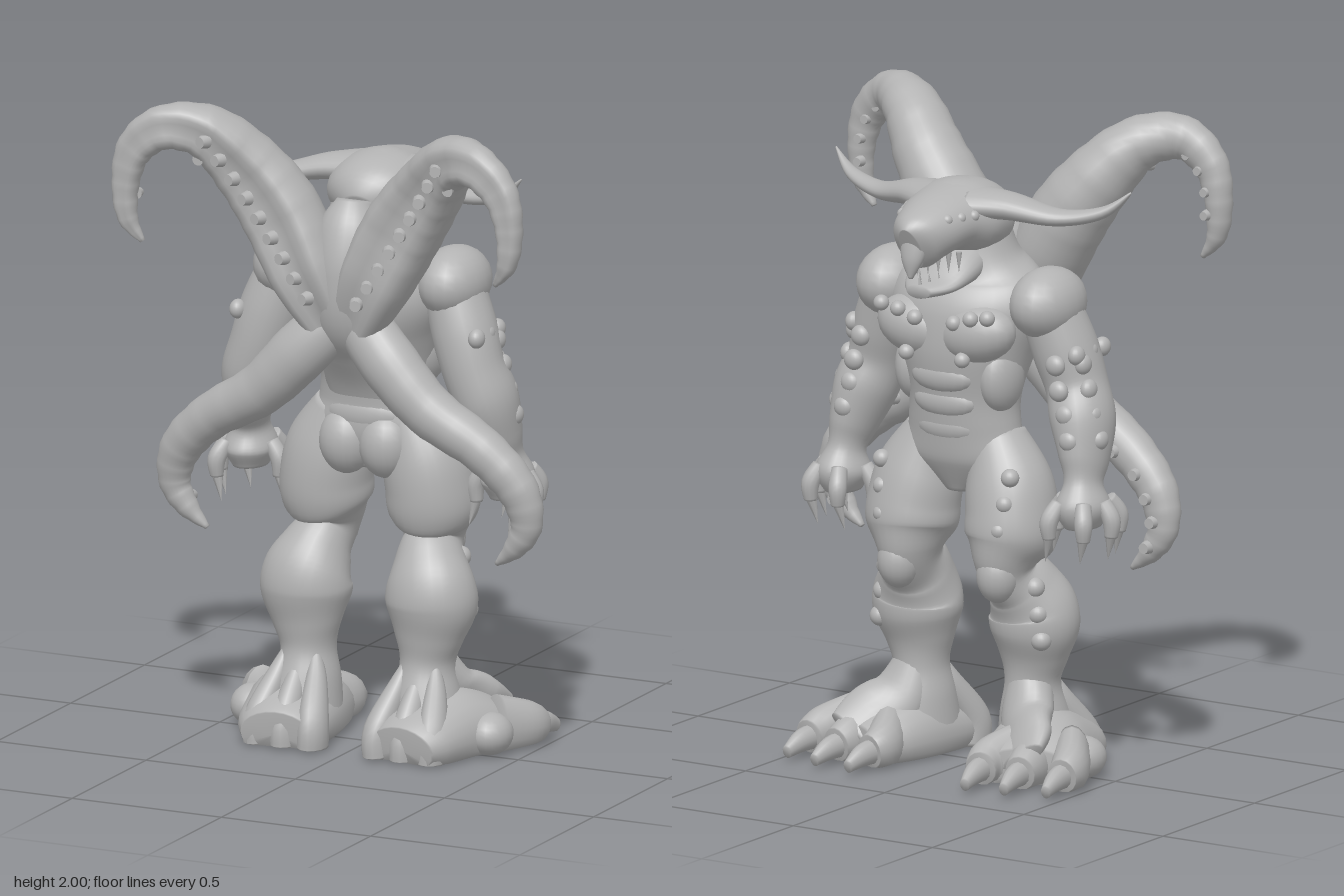
import * as THREE from 'three';

const hide = new THREE.MeshStandardMaterial({ color: 0xb3b3b3 });
hide.name = 'greyHide';
const Y = new THREE.Vector3(0, 1, 0), Z = new THREE.Vector3(0, 0, 1);

// Smooth Catmull-Rom interpolation through rows of numbers
function sample(rows, t) {
  const f = t * (rows.length - 1), i = Math.min(Math.floor(f), rows.length - 2), u = f - i;
  const at = k => rows[Math.max(0, Math.min(rows.length - 1, k))];
  return rows[0].map((_, c) => {
    const [a, b, d, e] = [at(i - 1)[c], at(i)[c], at(i + 1)[c], at(i + 2)[c]];
    return b + 0.5 * u * (d - a + u * (2 * a - 5 * b + 4 * d - e + u * (3 * (b - d) + e - a)));
  });
}

// Skin over elliptical sections [x, y, z, width, depth]; groove dents the ref side, ripple adds rings
function loft(rows, { ref = Z, seg = 24, groove = 0, ripple = 0 } = {}) {
  const n = (rows.length - 1) * 6, pos = [], idx = [];
  for (let k = -1; k <= n + 1; k++) {
    const t = Math.max(0, Math.min(1, k / n)), end = k < 0 || k > n;
    const [x, y, z, w, d] = sample(rows, t);
    const a = sample(rows, Math.max(0, t - 0.01)), b = sample(rows, Math.min(1, t + 0.01));
    const T = new THREE.Vector3(b[0] - a[0], b[1] - a[1], b[2] - a[2]).normalize();
    const side = T.clone().cross(ref).normalize(), up = side.clone().cross(T);
    const swell = end ? 0 : 1 + ripple * t * Math.sin(k * 2.1);
    for (let j = 0; j < seg; j++) {
      const ang = j / seg * Math.PI * 2;
      const dent = 1 - groove * (1 - t * 0.6) * Math.exp(-(((ang - Math.PI / 2) / 0.6) ** 2));
      const p = new THREE.Vector3(x, y, z)
        .addScaledVector(side, Math.cos(ang) * Math.max(w, 0.002) * swell)
        .addScaledVector(up, Math.sin(ang) * Math.max(d, 0.002) * swell * dent);
      pos.push(p.x, Math.max(0, p.y), p.z);
    }
  }
  for (let i = 0; i < n + 2; i++) for (let j = 0; j < seg; j++) {
    const a = i * seg + j, c = i * seg + (j + 1) % seg;
    idx.push(a, a + seg, c, c, a + seg, c + seg);
  }
  const g = new THREE.BufferGeometry();
  g.setAttribute('position', new THREE.Float32BufferAttribute(pos, 3));
  g.setIndex(idx);
  g.computeVertexNormals();
  return g;
}

export function createModel() {
  const model = new THREE.Group();
  model.name = 'hornedCreature';
  const add = (name, geo) => {
    const m = new THREE.Mesh(geo, hide);
    m.name = name;
    model.add(m);
    return m;
  };
  const skin = (name, rows, s = 1, opt) => add(name, loft(rows.map(([x, ...r]) => [x * s, ...r]), opt));
  const ball = (name, x, y, z, a, b = a, c = a) => {
    const m = add(name, new THREE.SphereGeometry(1, 20, 14));
    m.position.set(x, y, z);
    m.scale.set(a, b, c);
    return m;
  };
  const cone = (name, from, to, r) => {
    const a = new THREE.Vector3(...from), d = new THREE.Vector3(...to).sub(a);
    const m = add(name, new THREE.ConeGeometry(r, d.length(), 8));
    m.position.copy(a).addScaledVector(d, 0.5);
    m.quaternion.setFromUnitVectors(Y, d.normalize());
  };
  // Sucker: short drum pointing along a direction
  const sucker = (x, y, z, r, dir) => {
    const m = add('sucker', new THREE.CylinderGeometry(r * 0.75, r, r * 1.3, 12));
    m.position.set(x, y, z);
    m.quaternion.setFromUnitVectors(Y, dir);
  };

  // Torso, from crotch to neck
  skin('torso', [
    [0, 0.85, -0.05, 0.06, 0.07], [0, 0.95, -0.05, 0.2, 0.12], [0, 1.05, -0.06, 0.185, 0.13],
    [0, 1.15, -0.06, 0.18, 0.145], [0, 1.28, -0.05, 0.215, 0.18], [0, 1.4, -0.03, 0.26, 0.19],
    [0, 1.5, -0.02, 0.24, 0.16], [0, 1.58, -0.03, 0.16, 0.13], [0, 1.68, -0.04, 0.13, 0.1]], 1, { seg: 36 });
  skin('upperBack', [[0, 0.98, -0.01, 0.11, 0.04], [0, 1.13, 0.03, 0.13, 0.06], [0, 1.25, 0.085, 0.12, 0.08],
    [0, 1.36, 0.14, 0.1, 0.1], [0, 1.5, 0.13, 0.11, 0.12], [0, 1.62, 0.12, 0.1, 0.1], [0, 1.7, 0.1, 0.05, 0.06]]);
  ball('lowerBack', 0, 1.02, 0.02, 0.13, 0.07, 0.055);

  // Head along -z, with hooked beak and open lower jaw
  skin('head', [
    [0, 1.65, 0.06, 0.06, 0.06], [0, 1.68, 0, 0.14, 0.11], [0, 1.7, -0.1, 0.16, 0.115], [0, 1.705, -0.19, 0.13, 0.095],
    [0, 1.685, -0.275, 0.105, 0.09], [0, 1.66, -0.33, 0.075, 0.09], [0, 1.645, -0.358, 0.035, 0.075]], 1, { ref: Y, seg: 32 });
  skin('beakHook', [[0, 1.67, -0.33, 0.05, 0.04], [0, 1.61, -0.35, 0.035, 0.027], [0, 1.555, -0.358, 0.006, 0.008]]);
  skin('lowerJaw', [
    [0, 1.58, -0.06, 0.1, 0.08], [0, 1.55, -0.16, 0.11, 0.06], [0, 1.515, -0.25, 0.09, 0.03],
    [0, 1.505, -0.32, 0.04, 0.02]], 1, { ref: Y });
  ball('browCrest', 0, 1.77, -0.1, 0.09, 0.045, 0.1);
  for (let i = -4; i <= 4; i++) {
    const x = i * 0.02, z = -0.32 + Math.abs(i) * 0.026;
    cone('upperTooth', [x, 1.62, z], [x, 1.555, z], 0.01);
    cone('lowerTooth', [x * 0.85, 1.51, z + 0.015], [x * 0.85, 1.56, z + 0.01], 0.009);
  }

  // Belly muscles down the centre
  for (let i = 0; i < 3; i++) ball('bellyRidge', 0, 1.06 + i * 0.08, -0.15 - i * 0.015, 0.11, 0.055, 0.045);

  for (const s of [-1, 1]) {
    const knob = (name, x, y, z, r) => ball(name, x * s, y, z, r, r, r);
    const out = new THREE.Vector3(s * 0.3, 0, 1).normalize();

    // Side horns of the head
    skin('headHorn', [[0.05, 1.75, -0.11, 0.05, 0.11], [0.17, 1.745, -0.075, 0.04, 0.07], [0.32, 1.72, -0.03, 0.026, 0.042],
      [0.45, 1.745, 0.01, 0.018, 0.025], [0.53, 1.81, 0.04, 0.003, 0.003]], s);
    for (let i = 0; i < 3; i++) knob('faceBump', 0.115 - i * 0.018, 1.73, -0.19 - i * 0.045, 0.018);

    // Upper tentacle with grooved back face and suckers
    skin('upperTentacle', [
      [0.03, 1.3, 0.17, 0.07, 0.07], [0.11, 1.47, 0.185, 0.11, 0.125], [0.2, 1.645, 0.18, 0.122, 0.13],
      [0.3, 1.785, 0.205, 0.108, 0.115], [0.405, 1.9, 0.27, 0.083, 0.095], [0.52, 1.92, 0.335, 0.068, 0.065],
      [0.61, 1.85, 0.35, 0.057, 0.05], [0.642, 1.74, 0.35, 0.042, 0.045], [0.635, 1.63, 0.35, 0.03, 0.035],
      [0.59, 1.56, 0.34, 0.008, 0.01]], s, { groove: 0.48, ripple: 0.05 });
    for (let i = 0; i < 9; i++) {
      const u = i / 8;
      sucker(s * (0.085 + 0.305 * u), 1.42 + 0.47 * u, 0.262 + 0.01 * u + 0.065 * u ** 3, 0.023, out);
    }
    for (let i = 0; i < 7; i++) {
      const u = i / 6, a = 2.5 - u * 2.7;
      sucker(s * (0.51 + 0.115 * Math.cos(a)), 1.73 + 0.16 * Math.sin(a), 0.305, 0.018, Z.clone().negate());
    }

    // Lower tentacle hanging beside the hip
    skin('lowerTentacle', [
      [0.02, 1.36, 0.13, 0.08, 0.07], [0.14, 1.235, 0.165, 0.09, 0.085], [0.28, 1.095, 0.165, 0.08, 0.08],
      [0.45, 0.99, 0.15, 0.07, 0.07], [0.56, 0.88, 0.135, 0.064, 0.06], [0.59, 0.77, 0.125, 0.05, 0.045],
      [0.55, 0.69, 0.12, 0.035, 0.035], [0.485, 0.63, 0.115, 0.008, 0.01]], s, { ripple: 0.05 });
    for (const [x, y] of [[0.35, 1.05], [0.44, 0.99], [0.52, 0.93], [0.56, 0.86], [0.58, 0.79], [0.56, 0.71]])
      sucker(s * x, y, 0.075, 0.022, Z.clone().negate());

    // Chest
    ball('chestMuscle', s * 0.11, 1.36, -0.16, 0.13, 0.09, 0.085).rotation.z = s * 0.2;
    ball('sideMuscle', s * 0.15, 1.22, -0.09, 0.06, 0.11, 0.09);
    for (const [x, y] of [[0.07, 1.4], [0.13, 1.42], [0.19, 1.43], [0.1, 1.29]]) knob('chestBump', x, y, -0.23, 0.024);

    // Arm and shoulder
    ball('shoulder', s * 0.275, 1.45, -0.025, 0.105, 0.11, 0.145);
    skin('arm', [
      [0.27, 1.45, -0.02, 0.09, 0.1], [0.32, 1.31, 0, 0.1, 0.105], [0.355, 1.2, 0.01, 0.095, 0.1],
      [0.39, 1.1, -0.01, 0.095, 0.11], [0.415, 0.99, -0.04, 0.07, 0.09], [0.425, 0.92, -0.06, 0.055, 0.07],
      [0.43, 0.85, -0.07, 0.08, 0.1], [0.43, 0.79, -0.07, 0.05, 0.07]], s);
    for (let i = 0; i < 4; i++) {
      ball('armBump', s * (0.41 + i * 0.02), 1.28 - i * 0.075, -0.04, 0.025, 0.032, 0.032);
      ball('forearmBump', s * (0.35 + i * 0.018), 1.28 - i * 0.075, -0.1 - (i % 2) * 0.01, 0.032, 0.032, 0.024);
    }
    for (const z of [-0.06, 0.01, 0.08]) ball('armPlate', s * 0.4, 1.31, z, 0.025, 0.03, 0.03);

    // Hand: fingers and claws
    for (const [x, z] of [[0.5, 0.02], [0.525, -0.06], [0.49, -0.16], [0.38, -0.18], [0.33, -0.06]]) {
      const mx = 0.43 + (x - 0.43) * 0.7, mz = -0.07 + (z + 0.07) * 0.7;
      skin('finger', [[mx, 0.87, mz, 0.024, 0.026], [x, 0.82, z, 0.028, 0.028], [x, 0.765, z, 0.02, 0.02]], s, { seg: 12 });
      cone('fingerClaw', [s * x, 0.78, z], [s * (x - 0.02), 0.69, z + 0.01], 0.02);
    }

    // Buttock and leg
    ball('buttock', s * 0.067, 0.93, 0.015, 0.085, 0.105, 0.085);
    skin('leg', [
      [0.11, 1.03, -0.05, 0.08, 0.09], [0.155, 0.9, -0.06, 0.13, 0.13], [0.175, 0.8, -0.07, 0.14, 0.145],
      [0.178, 0.725, -0.08, 0.138, 0.145], [0.174, 0.665, -0.09, 0.1, 0.125], [0.176, 0.62, -0.08, 0.084, 0.11],
      [0.19, 0.57, -0.04, 0.108, 0.115], [0.206, 0.5, -0.005, 0.138, 0.125], [0.21, 0.435, 0, 0.14, 0.125],
      [0.205, 0.35, 0.005, 0.108, 0.098], [0.2, 0.27, 0.005, 0.084, 0.088], [0.2, 0.18, 0.01, 0.1, 0.11],
      [0.21, 0.06, 0.02, 0.12, 0.14]], s, { seg: 28 });
    ball('kneecap', s * 0.178, 0.62, -0.15, 0.065, 0.085, 0.07);
    for (let i = 0; i < 3; i++) {
      knob('shinBump', 0.265 + i * 0.012, 0.58 - i * 0.08, -0.085, 0.032);
      knob('thighBump', 0.23 - i * 0.01, 0.93 - i * 0.08, -0.165 - i * 0.015, 0.028);
    }

    // Foot, instep, heel lobes, toes and claws
    skin('foot', [
      [0.21, 0.04, 0.21, 0.11, 0.07], [0.22, 0.05, 0.14, 0.14, 0.1], [0.245, 0.055, 0, 0.155, 0.14],
      [0.28, 0.05, -0.11, 0.16, 0.12], [0.315, 0.04, -0.2, 0.145, 0.07]], s, { ref: Y });
    skin('instep', [[0.2, 0.3, 0, 0.06, 0.07], [0.23, 0.18, -0.07, 0.09, 0.06], [0.28, 0.12, -0.15, 0.1, 0.05],
      [0.31, 0.08, -0.22, 0.08, 0.03]], s);
    for (const x of [0.11, 0.2, 0.29])
      skin('heelLobe', [[x, 0, 0.16, 0.045, 0.06], [x, 0.08, 0.155, 0.045, 0.055], [0.2 + (x - 0.2) * 0.7, 0.2, 0.08, 0.03, 0.035],
        [0.2 + (x - 0.2) * 0.5, 0.28, 0.05, 0.01, 0.01]], s, { seg: 14 });
    for (const [x, z] of [[0.21, -0.39], [0.34, -0.375], [0.465, -0.335]]) {
      const bx = 0.27 + (x - 0.27) * 0.6;
      skin('toe', [[bx, 0.07, z + 0.27, 0.055, 0.1], [x - 0.02, 0.06, z + 0.17, 0.058, 0.075],
        [x - 0.01, 0.05, z + 0.11, 0.047, 0.052]], s, { ref: Y, seg: 16 });
      skin('toeClaw', [[x - 0.015, 0.05, z + 0.14, 0.035, 0.04], [x - 0.008, 0.045, z + 0.07, 0.029, 0.035],
        [x, 0.022, z + 0.005, 0.014, 0.02]], s, { ref: Y, seg: 12 });
    }
    ball('sideToe', s * 0.395, 0.06, -0.02, 0.07, 0.065, 0.08);
  }
  return model;
}
